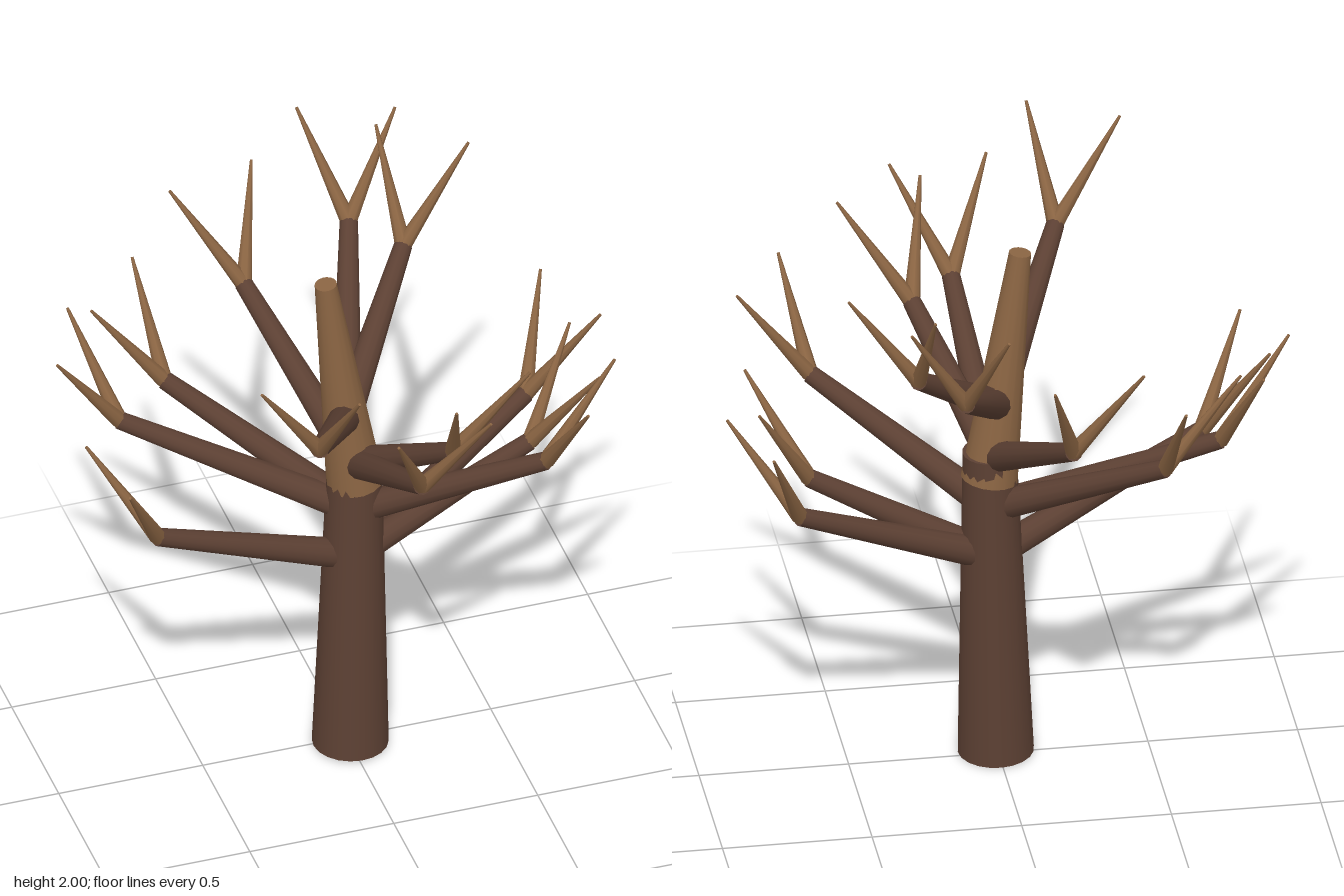
import * as THREE from 'three';

const bark = new THREE.MeshStandardMaterial({ color: 0x5c4033 });
bark.name = 'dark bark';
const wood = new THREE.MeshStandardMaterial({ color: 0x8b6543 });
wood.name = 'light wood';

// Tapered cylinder running between two points
function limb(name, from, to, r0, r1, sides, material) {
  const a = new THREE.Vector3(...from), b = new THREE.Vector3(...to);
  const dir = b.clone().sub(a);
  const mesh = new THREE.Mesh(new THREE.CylinderGeometry(r1, r0, dir.length(), sides), material);
  mesh.position.copy(a).add(b).multiplyScalar(0.5);
  mesh.quaternion.setFromUnitVectors(new THREE.Vector3(0, 1, 0), dir.normalize());
  mesh.name = name;
  return mesh;
}

// Four tiers of three branches: root on the trunk axis, elbow and twig tip heights,
// then for each branch the [x, z] of its elbow and its two twig tips
const tiers = [
  { root: [0.022, 0.75, 0], elbowY: 1.085, tipY: 1.42, branches: [
    [[0.70, -0.24], [0.82, -0.45], [0.93, -0.15]],
    [[0.63, 0.015], [0.82, -0.14], [0.82, 0.18]],
    [[-0.70, 0.135], [-0.91, -0.01 + 0.025], [-0.86, 0.33]]] },
  { root: [0.026, 0.935, -0.004], elbowY: 1.275, tipY: 1.61, branches: [
    [[0.57, 0.375], [0.82, 0.34], [0.64, 0.61]],
    [[-0.49, -0.44], [-0.52, -0.69], [-0.74, -0.45]],
    [[-0.70, -0.275], [-0.81, -0.49], [-0.94, -0.20]]] },
  { root: [0.024, 1.125, -0.008], elbowY: 1.465, tipY: 1.805, branches: [
    [[0.215, 0.47], [0.45, 0.57], [0.15, 0.71]],
    [[0.06, 0.62], [-0.09, 0.83], [0.24, 0.80]],
    [[-0.155, -0.62], [-0.06, -0.83], [-0.37, -0.75]]] },
  { root: [0, 1.32, -0.005], elbowY: 1.66, tipY: 2, branches: [
    [[-0.28, 0.57], [-0.51, 0.66], [-0.22, 0.81]],
    [[0.20, -0.59], [0.09, -0.81], [0.40, -0.71]],
    [[0.33, -0.41], [0.31, -0.64], [0.57, -0.45]]] },
];

export function createModel() {
  const tree = new THREE.Group();
  tree.name = 'bareTree';

  // Trunk in two slightly leaning sections
  tree.add(limb('lowerTrunk', [0.005, 0.005, 0.022], [0.031, 1.15, -0.01], 0.127, 0.09, 20, bark));
  tree.add(limb('upperTrunk', [0.031, 1.05, -0.008], [-0.073, 1.885, 0], 0.096, 0.037, 16, wood));

  // Branches, each forking into two pointed twigs
  for (const { root, elbowY, tipY, branches } of tiers) {
    for (const [elbow, ...tips] of branches) {
      const joint = [elbow[0], elbowY, elbow[1]];
      const branch = new THREE.Group();
      branch.name = 'branch';
      branch.add(limb('bough', root, joint, 0.053, 0.031, 12, bark));
      for (const [x, z] of tips) {
        branch.add(limb('twig', joint, [x, tipY, z], 0.028, 0.005, 8, wood));
      }
      tree.add(branch);
    }
  }
  return tree;
}
